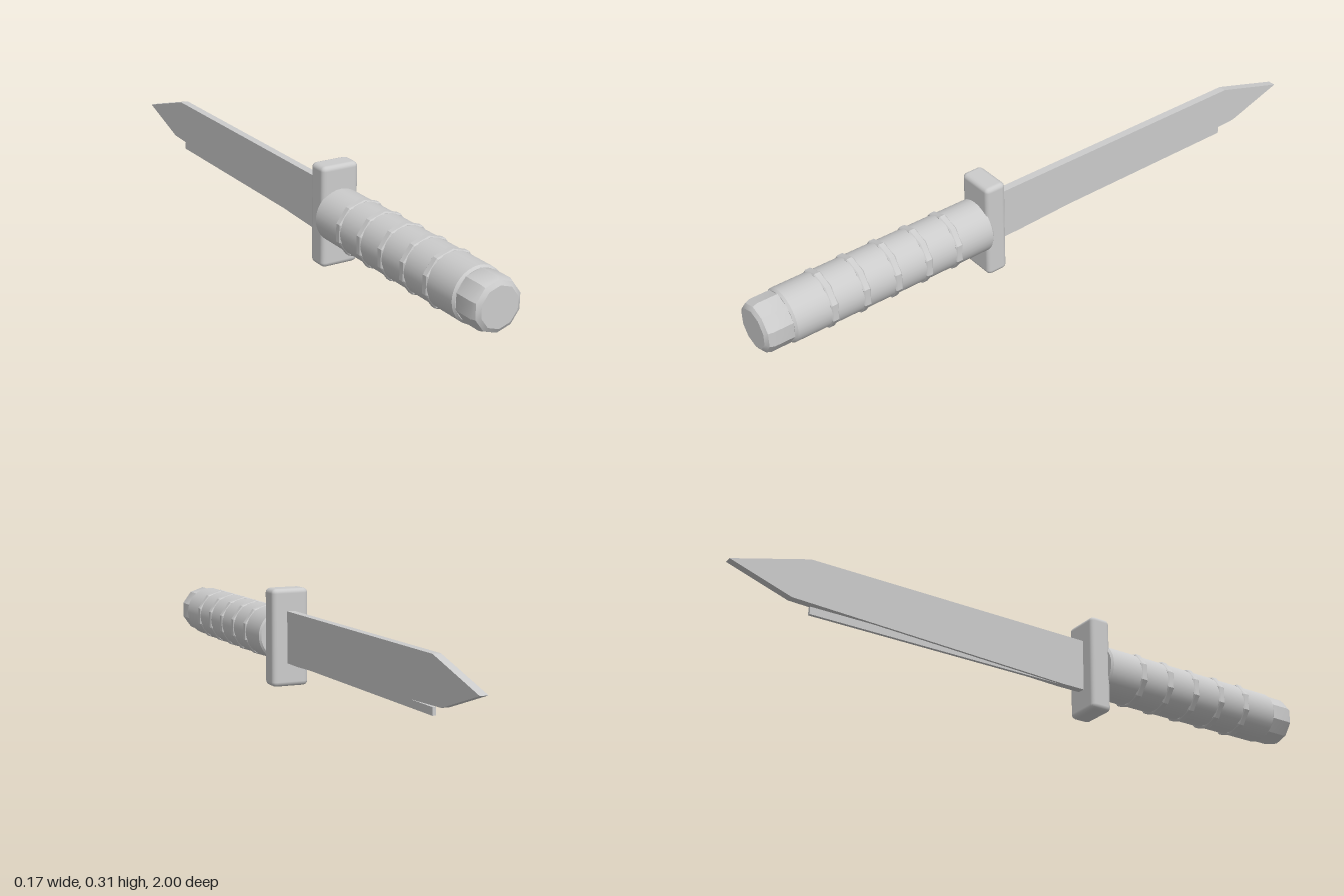
import * as THREE from 'three';
import { RoundedBoxGeometry } from 'three/addons/geometries/RoundedBoxGeometry.js';
import { toCreasedNormals } from 'three/addons/utils/BufferGeometryUtils.js';

const AXIS_Y = 0.156;

export function createModel() {
  const model = new THREE.Group();
  const material = new THREE.MeshStandardMaterial({ color: 0xcccccc });

  function add(name, geometry, x = 0, y = 0, z = 0) {
    const mesh = new THREE.Mesh(geometry, material);
    mesh.name = name;
    mesh.position.set(x, y, z);
    model.add(mesh);
    return mesh;
  }

  // Turned part lying along z, with a vertex of its section pointing up
  function turned(name, profile, sides, crease) {
    const points = profile.map(([r, z]) => new THREE.Vector2(r, z));
    const geometry = new THREE.LatheGeometry(points, sides);
    geometry.rotateX(Math.PI / 2);
    geometry.rotateZ(Math.PI);
    return add(name, toCreasedNormals(geometry, crease), 0, AXIS_Y, 0);
  }

  // Flat plate drawn in (z, y) and given a thickness along x
  function plate(name, outline, thickness) {
    const shape = new THREE.Shape(outline.map(([z, y]) => new THREE.Vector2(-z, y)));
    const geometry = new THREE.ExtrudeGeometry(shape, { depth: thickness, bevelEnabled: false });
    geometry.translate(0, 0, -thickness / 2);
    geometry.rotateY(Math.PI / 2);
    return add(name, geometry);
  }

  // Blade with its clipped point
  plate('blade', [
    [0.2, 0.075], [0.1, 0.075], [-0.81, 0.107], [-1, 0.17], [-0.76, 0.24], [0.2, 0.24],
  ], 0.025);

  // Thin cutting strip below the blade
  plate('cuttingEdge', [
    [0.2, 0.075], [-0.75, 0.075], [-0.75, 0.098], [0.2, 0.098],
  ], 0.01);

  // Cross guard with softened edges
  add('guard', new RoundedBoxGeometry(0.122, 0.311, 0.07, 2, 0.015), 0, 0.1555, 0.215);

  // Grip
  turned('grip', [
    [0, 0.24], [0.076, 0.24], [0.082, 0.246], [0.082, 0.908], [0.076, 0.915], [0, 0.915],
  ], 32, 0.6);

  // Ten-sided grip rings whose corners stand proud of the grip
  for (let i = 0; i < 5; i++) {
    const z = 0.367 + i * 0.1055;
    turned('gripRing', [
      [0.07, z - 0.012], [0.084, z - 0.012], [0.0875, z - 0.008],
      [0.0875, z + 0.008], [0.084, z + 0.012], [0.07, z + 0.012],
    ], 10, 0.3);
  }

  // Ten-sided pommel with a bevelled end
  turned('pommel', [
    [0, 0.9], [0.072, 0.9], [0.078, 0.918], [0.078, 0.978],
    [0.073, 0.992], [0.06, 1], [0, 1],
  ], 10, 0.5);

  return model;
}
